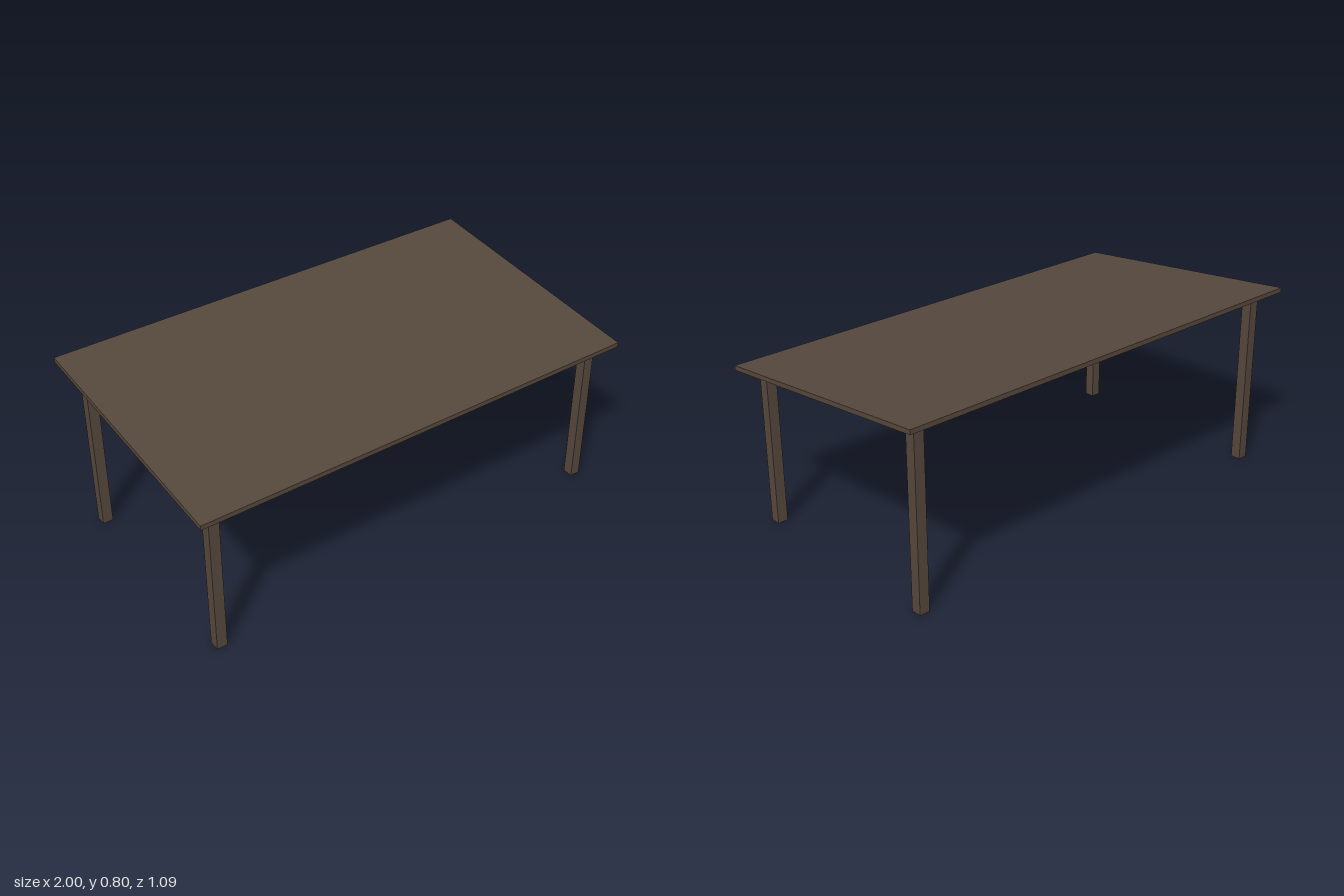
import * as THREE from 'three';

const SLOPE = 0.1046; // the top rises towards the back

// Height of the underside of the top at a given depth
const underside = (z) => 0.72 - SLOPE * z;

export function createModel() {
  const model = new THREE.Group();
  model.name = 'slopedTable';

  const darkWood = new THREE.MeshStandardMaterial({ color: 0x55473c });
  darkWood.name = 'darkWood';

  // Box whose vertices are sheared in y so that it follows the slope
  const slopedBox = (width, depth, x, z, bottom, top) => {
    const geometry = new THREE.BoxGeometry(width, 1, depth).translate(x, 0, z);
    const p = geometry.attributes.position;
    for (let i = 0; i < p.count; i++) {
      const height = p.getY(i) > 0 ? top : bottom;
      p.setY(i, height(p.getZ(i)));
    }
    geometry.computeVertexNormals();
    return geometry;
  };

  const add = (name, geometry) => {
    const mesh = new THREE.Mesh(geometry, darkWood);
    mesh.name = name;
    model.add(mesh);
  };

  // Table top, with upright edges
  add('tableTop', slopedBox(2, 1.09, 0, 0, underside, (z) => underside(z) + 0.02));

  // Four square legs, cut to meet the top
  for (const [side, x] of [['Left', 0.91], ['Right', -0.91]]) {
    for (const [end, z] of [['front', 0.455], ['back', -0.455]]) {
      add(`${end}${side}Leg`, slopedBox(0.045, 0.045, x, z, () => 0, underside));
    }
  }

  return model;
}
